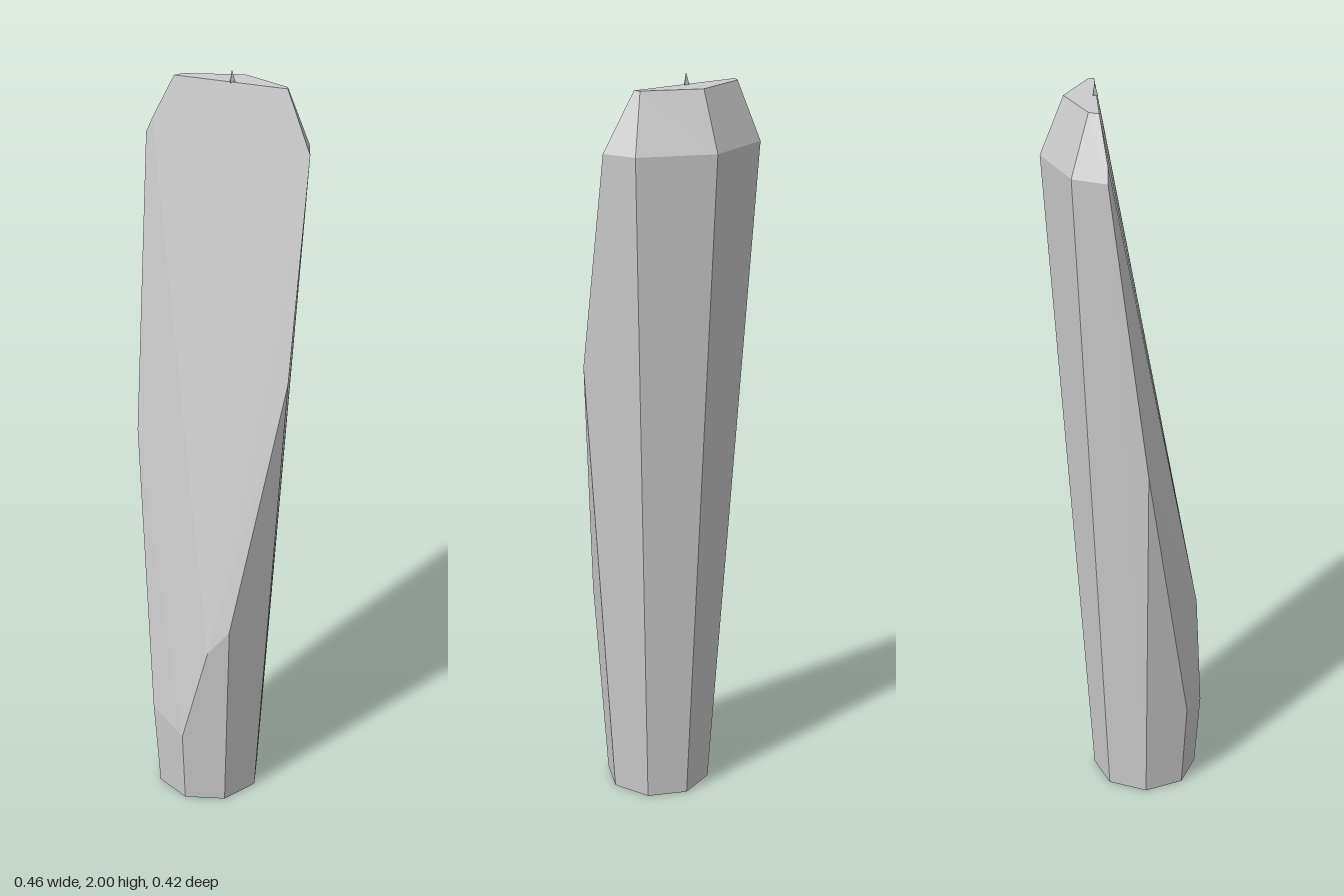
import * as THREE from 'three';
import { ConvexGeometry } from 'three/addons/geometries/ConvexGeometry.js';

const CX = -0.003, CZ = 0.055;

// Point on edge k of the eight-sided column (0 = front, 2 = +x, 4 = back, 6 = -x)
function corner(k, y, r = 0.144 + 0.067 * y) {
  const a = k * Math.PI / 4;
  return new THREE.Vector3(CX + r * Math.sin(a), y, CZ + r * Math.cos(a));
}

export function createModel() {
  const group = new THREE.Group();
  const material = new THREE.MeshStandardMaterial({ color: 0xcccccc, flatShading: true });
  const points = [];

  // Foot: full octagon
  for (let k = 0; k < 8; k++) points.push(corner(k, 0));

  // Shoulder and bevelled top on the back half
  for (const k of [3, 4, 5]) points.push(corner(k, 1.82), corner(k, 1.97, 0.206));

  // Where the two slanted front cuts meet the column edges
  const cuts = [[0, 0.21], [1, 0.56], [2, 1.25], [6, 1.03], [7, 0.25]];
  for (const [k, y] of cuts) points.push(corner(k, y));

  // Cut corners lying between column edges: crease ends, shoulders, top rim
  const rim = [
    [0.07, 0.49, 0.202], [-0.213, 1.86, -0.046],
    [0.225, 1.82, -0.05], [-0.232, 1.82, -0.046],
    [0.15, 1.97, -0.075], [-0.16, 1.97, -0.065],
  ];
  for (const p of rim) points.push(new THREE.Vector3(...p));

  const post = new THREE.Mesh(new ConvexGeometry(points), material);
  post.name = 'post';
  group.add(post);

  // Tiny splinter on the front edge of the top
  const splinter = new THREE.Mesh(new THREE.ConeGeometry(0.009, 0.032, 3), material);
  splinter.name = 'splinter';
  splinter.position.set(CX, 1.984, -0.075);
  group.add(splinter);

  return group;
}
